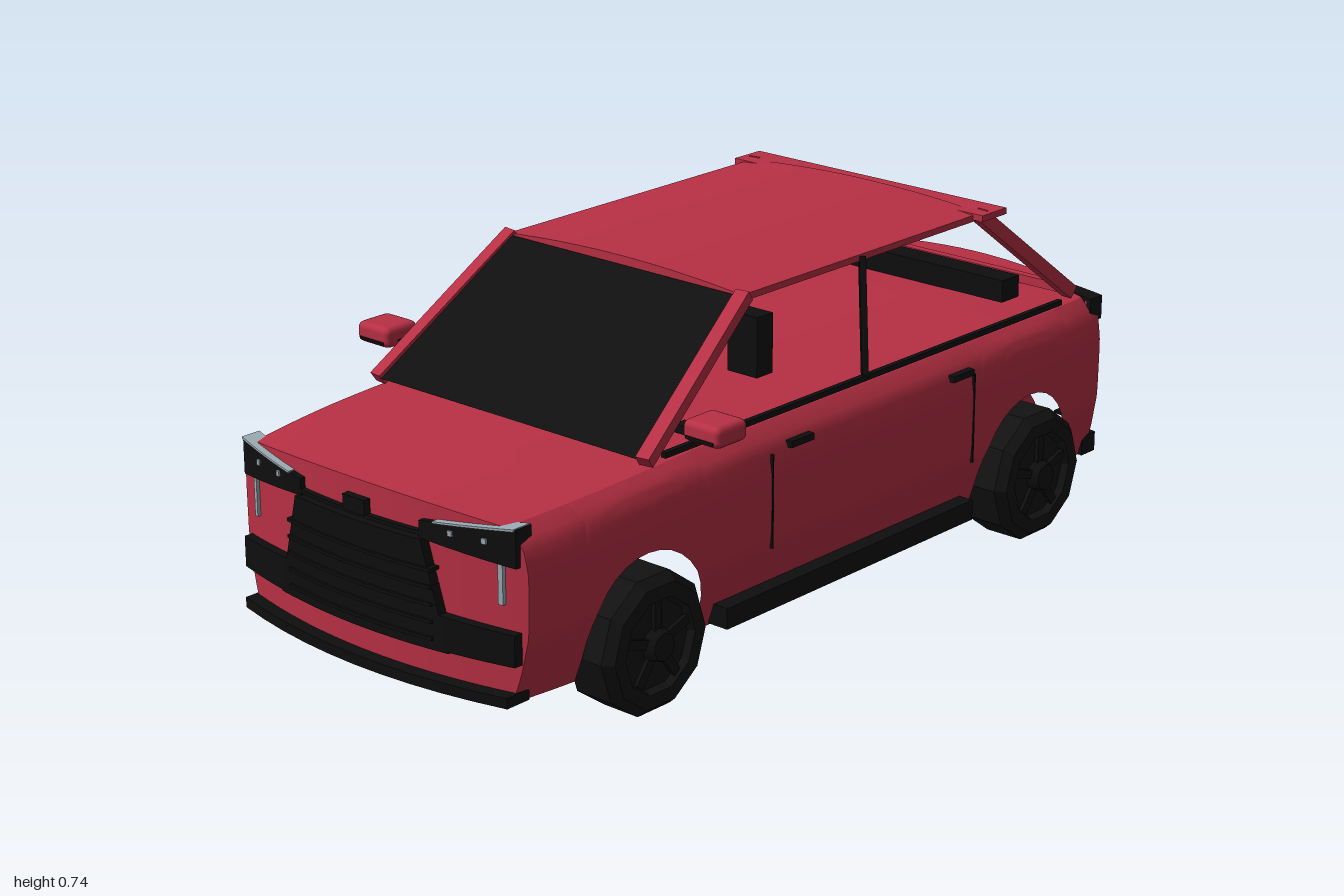
import * as THREE from 'three';
import { RoundedBoxGeometry } from 'three/addons/geometries/RoundedBoxGeometry.js';

const { clamp, lerp } = THREE.MathUtils;

export function createModel() {
  const car = new THREE.Group();
  car.name = 'hatchback';
  const paint = (name, color, side = THREE.FrontSide) => {
    const m = new THREE.MeshStandardMaterial({ color, side });
    m.name = name;
    return m;
  };
  const red = paint('redPaint', 0xb83044);
  const black = paint('blackTrim', 0x0e0e0e);
  const glass = paint('darkGlass', 0x0f0f0f, THREE.DoubleSide);
  const tyre = paint('tyreRubber', 0x121212);
  const silver = paint('silverLamp', 0x9dadb5);

  const add = (name, geo, mat, x = 0, y = 0, z = 0) => {
    const m = new THREE.Mesh(geo, mat);
    m.name = name;
    m.position.set(x, y, z);
    car.add(m);
    return m;
  };
  const box = (name, mat, w, h, d, x, y, z) => add(name, new THREE.BoxGeometry(w, h, d), mat, x, y, z);

  // Surface over an integer grid, facing along du x dv
  const grid = (nu, nv, fn) => {
    const pos = [], idx = [];
    for (let i = 0; i <= nu; i++) for (let j = 0; j <= nv; j++) pos.push(...fn(i, j));
    for (let i = 0; i < nu; i++) for (let j = 0; j < nv; j++) {
      const a = i * (nv + 1) + j, b = a + nv + 1;
      idx.push(a, b, b + 1, a, b + 1, a + 1);
    }
    const g = new THREE.BufferGeometry();
    g.setAttribute('position', new THREE.Float32BufferAttribute(pos, 3));
    g.setIndex(idx);
    g.computeVertexNormals();
    return g;
  };
  const beam = (name, mat, a, b, w, h) => {
    const A = new THREE.Vector3(...a), B = new THREE.Vector3(...b);
    const m = box(name, mat, w, h, A.distanceTo(B), 0, 0, 0);
    m.position.copy(A).lerp(B, 0.5);
    m.lookAt(B);
    return m;
  };
  const table = (t, k) => {
    for (let i = 1; i < t.length; i++) if (k <= t[i][0]) {
      const [a, b] = [t[i - 1], t[i]];
      return lerp(a[1], b[1], clamp((k - a[0]) / (b[0] - a[0]), 0, 1));
    }
    return t[t.length - 1][1];
  };

  // Body rules: height, half width, rounded ends, wheel arches
  const END = 0.97, LOW = 0.1, AXLE = 0.615, R = 0.17;
  const topY = z => table([[-END, 0.49], [-0.6, 0.5], [0.4, 0.5], [0.7, 0.488], [END, 0.475]], z);
  const shoulder = z => topY(z) - 0.02;
  const section = [[0.1, 0.385], [0.16, 0.405], [0.25, 0.424], [0.38, 0.426], [0.43, 0.418], [0.46, 0.402], [0.48, 0.375]];
  const halfW = (y, z) => table(section, LOW + (y - LOW) * 0.38 / (shoulder(z) - LOW))
    * (1 - 0.07 * clamp((Math.abs(z) - 0.55) / 0.42, 0, 1) ** 2);
  const bend = (x, z) => z - Math.sign(z) * 0.055 * (x / 0.39) ** 2 * clamp((Math.abs(z) - 0.6) / 0.37, 0, 1) ** 2;
  const archDist = z => Math.abs(Math.abs(z) - AXLE);
  const bottomY = z => archDist(z) < R + 0.001 ? 0.15 + 1.06 * Math.sqrt(Math.max(0, R * R - archDist(z) ** 2)) : LOW;

  const half = [0, 0.15, 0.3, AXLE - R - 0.002];
  for (let i = 0; i <= 16; i++) half.push(AXLE - R * Math.cos(i * Math.PI / 16));
  half.push(AXLE + R + 0.002, 0.84, 0.89, 0.93, END);
  const stations = [...half.slice(1).reverse().map(z => -z), ...half];
  const n = stations.length - 1, ROWS = 16, COLS = 16;

  for (const s of [1, -1]) {
    add(s > 0 ? 'leftBodySide' : 'rightBodySide', grid(n, ROWS, (i, j) => {
      const z = stations[s > 0 ? n - i : i];
      const y = lerp(bottomY(z), shoulder(z), j / ROWS), x = s * halfW(y, z);
      return [x, y, bend(x, z)];
    }), red);
    // Bumper faces
    add(s > 0 ? 'frontFace' : 'rearFace', grid(COLS, ROWS, (i, j) => {
      const z = s * END, u = s * (2 * i / COLS - 1);
      const y0 = lerp(LOW, shoulder(z), j / ROWS), x = u * halfW(y0, z);
      return [x, y0 + 0.02 * (1 - u * u) * j / ROWS, bend(x, z)];
    }), red);
  }
  add('bonnetAndDeck', grid(n, COLS, (i, j) => {
    const z = stations[i], u = 2 * j / COLS - 1, x = u * halfW(shoulder(z), z);
    return [x, topY(z) - 0.02 * u * u, bend(x, z)];
  }), red);
  add('floor', grid(COLS, n, (i, j) => {
    const z = stations[j], x = (2 * i / COLS - 1) * (bottomY(z) > LOW ? 0.32 : halfW(LOW, z));
    return [x, LOW, bend(x, z)];
  }), red);

  // Slab that follows the curved nose or tail; corners run bottom left, bottom right, top right, top left
  const slab = (name, mat, c, out, rear = false) => {
    const g = new THREE.BoxGeometry(1, 1, 1, 10, 1, 1), p = g.attributes.position;
    for (let i = 0; i < p.count; i++) {
      const u = p.getX(i) + 0.5, v = p.getY(i) + 0.5, w = p.getZ(i) + 0.5;
      const at = k => lerp(lerp(c[0][k], c[1][k], u), lerp(c[3][k], c[2][k], u), v);
      p.setXYZ(i, at(0), at(1), bend(at(0), END) + lerp(-0.03, out, w));
    }
    if (rear) g.rotateY(Math.PI);
    g.computeVertexNormals();
    add(name, g, mat);
  };
  const rect = (x0, x1, y0, y1) => [[x0, y0], [x1, y0], [x1, y1], [x0, y1]];
  const pair = (name, mat, c, out, rear) => {
    slab(name, mat, c, out, rear);
    slab(name, mat, [c[1], c[0], c[3], c[2]].map(([x, y]) => [-x, y]), out, rear);
  };

  // Nose details
  slab('grille', black, [[-0.235, 0.18], [0.235, 0.18], [0.175, 0.4], [-0.175, 0.4]], 0.02);
  for (let i = 0; i < 5; i++) slab('grilleSlat', black, rect(-0.2, 0.2, 0.2 + i * 0.035, 0.207 + i * 0.035), 0.025);
  slab('noseBar', black, rect(-0.17, 0.17, 0.405, 0.413), 0.012);
  slab('noseSensor', black, rect(-0.03, 0.03, 0.412, 0.443), 0.016);
  slab('frontLip', black, rect(-0.37, 0.37, 0.1, 0.122), 0.03);
  pair('lowerIntake', black, [[0.22, 0.183], [0.38, 0.183], [0.38, 0.248], [0.215, 0.255]], 0.02);
  pair('headlight', black, [[0.165, 0.4], [0.38, 0.38], [0.38, 0.458], [0.165, 0.435]], 0.012);
  pair('headlightTrim', silver, [[0.2, 0.437], [0.378, 0.455], [0.378, 0.46], [0.2, 0.441]], 0.016);
  for (const x of [0.24, 0.315]) pair('lampBulb', silver, rect(x - 0.005, x + 0.005, 0.419, 0.43), 0.016);
  pair('daytimeLamp', silver, rect(0.338, 0.348, 0.3, 0.385), 0.008);

  // Tail details
  slab('rearLip', black, rect(-0.375, 0.375, 0.1, 0.145), 0.02, true);
  slab('numberPlateRecess', black, rect(-0.125, 0.125, 0.205, 0.255), 0.03, true);
  pair('tailLightFrame', black, rect(0.23, 0.385, 0.42, 0.474), 0.014, true);
  pair('tailLight', red, rect(0.24, 0.375, 0.438, 0.466), 0.02, true);
  pair('tailLightDash', black, rect(0.26, 0.34, 0.395, 0.405), 0.008, true);
  pair('rearReflector', black, rect(0.28, 0.34, 0.175, 0.181), 0.006, true);

  // Roof with a gentle crown, and its spoiler
  const crown = new THREE.Shape();
  crown.moveTo(-0.325, 0.722);
  crown.lineTo(0.325, 0.722);
  crown.lineTo(0.325, 0.736);
  crown.quadraticCurveTo(0, 0.768, -0.325, 0.736);
  add('roof', new THREE.ExtrudeGeometry(crown, { depth: 0.78, bevelEnabled: false, curveSegments: 16 }), red, 0, 0, -0.55);
  box('spoiler', red, 0.7, 0.014, 0.085, 0, 0.733, -0.565);

  // Glass
  const pane = (name, a, b, c, d) => {
    const k = [[a, d], [b, c]];
    add(name, grid(1, 1, (i, j) => k[i][j]), glass);
  };
  pane('windscreen', [-0.36, 0.494, 0.575], [0.36, 0.494, 0.575], [0.308, 0.735, 0.235], [-0.308, 0.735, 0.235]);
  pane('rightSideWindows', [-0.378, 0.49, -0.83], [-0.378, 0.49, 0.53], [-0.32, 0.73, 0.21], [-0.32, 0.73, -0.56]);

  // Rear window frame
  beam('rearWindowSill', red, [-0.35, 0.5, -0.85], [0.35, 0.5, -0.85], 0.02, 0.02);
  box('hatchSeam', black, 0.68, 0.006, 0.01, 0, 0.502, -0.868);
  box('parcelShelf', black, 0.6, 0.05, 0.06, 0, 0.525, -0.7);
  beam('centrePillar', black, [0.375, 0.49, -0.1], [0.322, 0.73, -0.15], 0.014, 0.02);

  const tyreProfile = [[0, -0.06], [0.09, -0.06], [0.13, -0.065], [0.148, -0.045], [0.148, 0.045], [0.13, 0.065],
    [0.1, 0.065], [0.092, 0.05], [0, 0.05]].map(p => new THREE.Vector2(...p));

  for (const s of [1, -1]) {
    // Pillars, window trim, mirrors
    beam('frontPillar', red, [s * 0.372, 0.49, 0.57], [s * 0.322, 0.735, 0.22], 0.032, 0.025);
    beam('rearPillar', red, [s * 0.322, 0.73, -0.55], [s * 0.352, 0.495, -0.85], 0.028, 0.03);
    beam('rearPillarSeal', black, [s * 0.308, 0.725, -0.56], [s * 0.336, 0.5, -0.845], 0.006, 0.02);
    box('windowTrim', black, 0.012, 0.012, 1.3, s * 0.377, 0.492, -0.13);
    box('mirrorStalk', black, 0.06, 0.018, 0.03, s * 0.395, 0.533, 0.46);
    add('mirror', new RoundedBoxGeometry(0.095, 0.045, 0.09, 2, 0.014), red, s * 0.457, 0.548, 0.46);
    box('mirrorStrip', black, 0.07, 0.006, 0.004, s * 0.457, 0.537, 0.505);
    box('headrest', black, 0.08, 0.13, 0.05, s * 0.2, 0.57, 0.06);

    // Sills, handles, door seams
    box('sill', black, 0.05, 0.045, 0.8, s * 0.412, 0.127, 0);
    for (const z of [0.16, -0.37]) box('doorHandle', black, 0.016, 0.014, 0.07, s * 0.42, 0.436, z);
    for (const z of [0.25, -0.41]) box('doorSeam', black, 0.006, 0.2, 0.004, s * 0.424, 0.33, z);

    // Wheels and rear wheel housings
    for (const z of [0.62, -0.62]) {
      const g = new THREE.LatheGeometry(tyreProfile, 10).toNonIndexed();
      g.rotateZ(-s * Math.PI / 2);
      g.computeVertexNormals();
      add('wheel', g, tyre, s * 0.395, 0.148, z);
      const hub = new THREE.CylinderGeometry(0.03, 0.04, 0.03, 8);
      hub.rotateZ(-s * Math.PI / 2);
      add('wheelHub', hub, black, s * 0.455, 0.148, z);
      for (let k = 0; k < 5; k++) {
        const spoke = new THREE.BoxGeometry(0.012, 0.07, 0.02);
        spoke.translate(0, 0.06, 0);
        spoke.rotateX(k * Math.PI * 0.4);
        add('wheelSpoke', spoke, black, s * 0.448, 0.148, z);
      }
    }
    const housing = new THREE.CylinderGeometry(0.185, 0.185, 0.2, 16, 1, false, 0, Math.PI);
    housing.rotateZ(Math.PI / 2);
    add('rearWheelHousing', housing, red, s * 0.225, 0.15, -AXLE);
  }
  return car;
}
